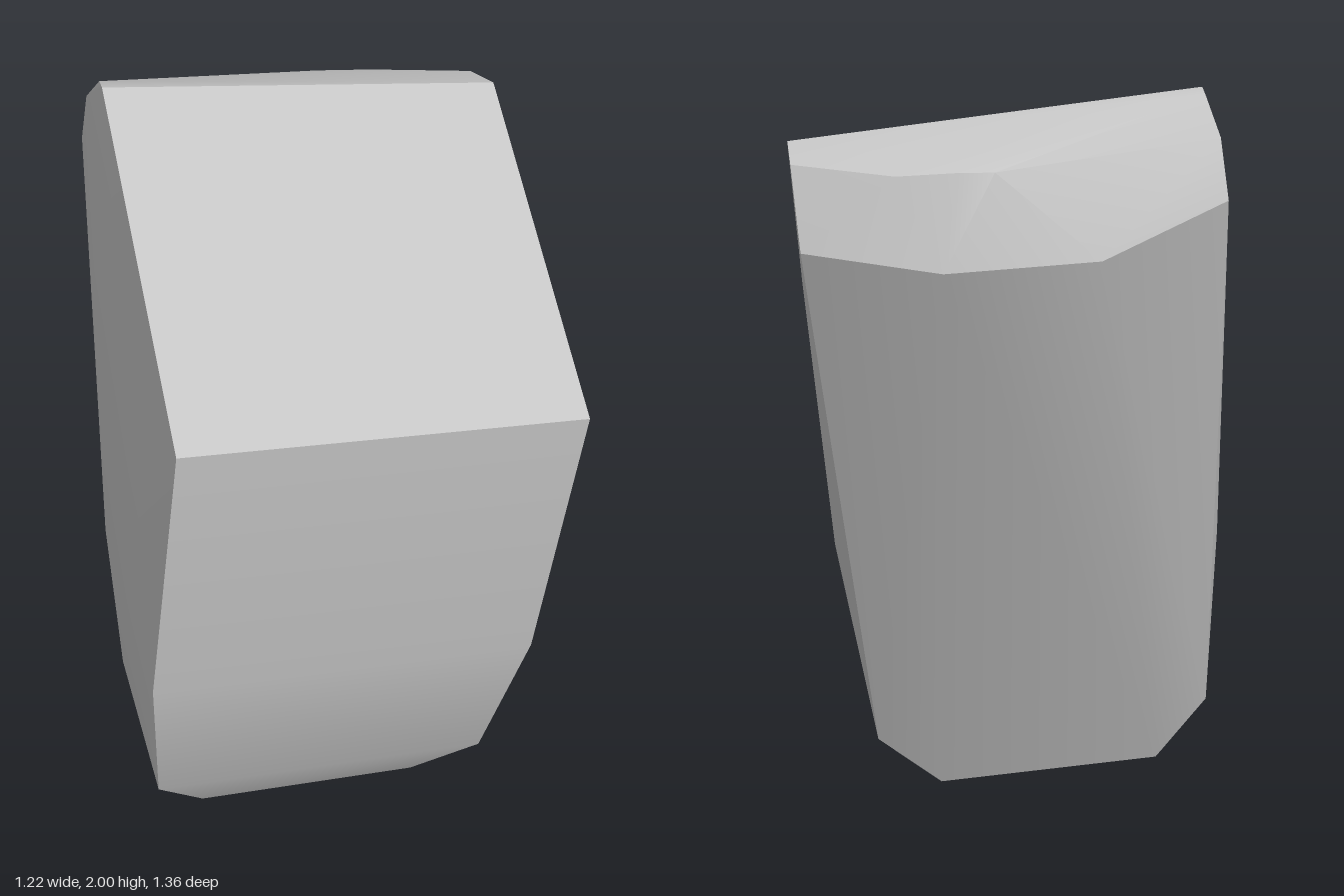
import * as THREE from 'three';
import { ConvexGeometry } from 'three/addons/geometries/ConvexGeometry.js';
import { toCreasedNormals } from 'three/addons/utils/BufferGeometryUtils.js';

// Corner points of the boulder, grouped by the region they bound
const corners = {
  // sloping top facet
  crown: [[-0.53, 2.0, -0.22], [0.515, 1.87, -0.365], [0.61, 1.385, 0.515], [-0.43, 1.49, 0.68]],
  // front face, curving in towards the base
  front: [[-0.52, 0.7, 0.635], [0.52, 0.59, 0.467], [-0.52, 0.23, 0.53], [0.41, 0.14, 0.385]],
  // small tilted underside
  base: [[-0.395, 0.065, 0.425], [0.225, 0, 0.32], [0.16, 0.035, -0.05], [-0.45, 0.09, 0.03]],
  // lower ends of the long back face and the swell of the left face
  sides: [[0.335, 0.175, -0.09], [-0.59, 0.265, 0.04], [-0.61, 0.76, 0.03]],
  // rounded shoulder behind the top facet
  shoulder: [
    [-0.535, 1.985, -0.285], [-0.57, 1.885, -0.4], [-0.59, 1.735, -0.45],
    [-0.02, 1.815, -0.598], [0.07, 1.814, -0.604], [0.22, 1.805, -0.608], [0.485, 1.825, -0.525],
  ],
  // upper rim of the back face
  rim: [[-0.28, 1.605, -0.62], [0.1, 1.58, -0.682], [0.45, 1.62, -0.625]],
};

export function createModel() {
  const group = new THREE.Group();
  group.name = 'rock';

  const stone = new THREE.MeshStandardMaterial({ color: 0xc5c5c5 });
  stone.name = 'light grey stone';

  // Convex hull, with soft bends smoothed and hard edges kept sharp
  const points = Object.values(corners).flat().map((p) => new THREE.Vector3(...p));
  const hull = new ConvexGeometry(points);
  const boulder = new THREE.Mesh(toCreasedNormals(hull, THREE.MathUtils.degToRad(34)), stone);
  boulder.name = 'boulder';
  group.add(boulder);

  return group;
}
